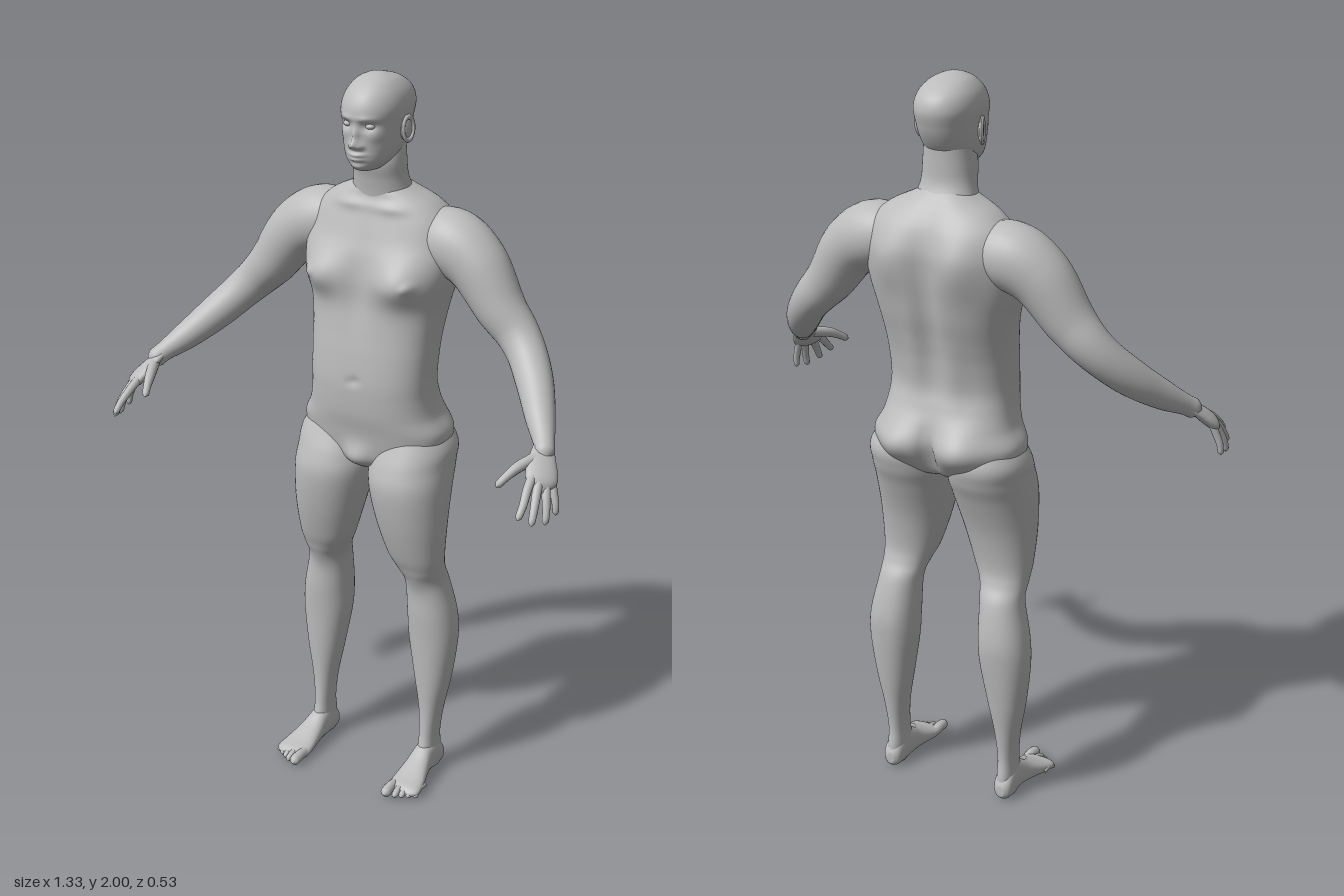
import * as THREE from 'three';
import { mergeVertices } from 'three/addons/utils/BufferGeometryUtils.js';

const skin = new THREE.MeshStandardMaterial({ color: 0xbcbcbc });
skin.name = 'grey skin';

// Catmull-Rom blend of one column of a section table
function blend(rows, u, col) {
  const n = rows.length - 1, i = Math.min(Math.floor(u * n), n - 1), f = u * n - i;
  const v = k => rows[Math.max(0, Math.min(n, k))][col];
  const [p, a, b, q] = [v(i - 1), v(i), v(i + 1), v(i + 2)];
  return a + 0.5 * f * (b - p + f * (2 * p - 5 * a + 4 * b - q + f * (3 * (a - b) + q - p)));
}

// Skin over oval sections [t, aMin, aMax, bMax, bMin].
// Bumps are [a, t, aRadius, tRadius, side, push]; those off the middle can be mirrored.
function loft(rows, { n = 2.2, bumps = [], steps = 60, sides = 48, place = (t, a, b) => [a, t, b] } = {}) {
  const pos = [], index = [];
  for (let i = 0; i <= steps; i++) {
    const [t, a0, a1, b1, b0] = [0, 1, 2, 3, 4].map(c => blend(rows, i / steps, c));
    for (let j = 0; j < sides; j++) {
      const th = j / sides * Math.PI * 2, c = Math.cos(th), s = Math.sin(th);
      const a = (a0 + a1) / 2 + (a1 - a0) / 2 * Math.sign(c) * Math.abs(c) ** (2 / n);
      let b = (b0 + b1) / 2 + (b1 - b0) / 2 * Math.sign(s) * Math.abs(s) ** (2 / n);
      const base = a;
      for (const [ba, bt, ra, rt, side, push] of bumps) {
        const w = Math.sqrt(Math.max(0, s * side));
        b += push * w * Math.exp(-(((base - ba) / ra) ** 2) - ((t - bt) / rt) ** 2);
      }
      pos.push(...place(t, a, b));
      const k = i * sides + j, m = i * sides + (j + 1) % sides;
      if (i < steps) index.push(k, k + sides, m, m, k + sides, m + sides);
    }
  }
  const last = steps * sides;
  for (let j = 1; j < sides - 1; j++) index.push(0, j, j + 1, last, last + j + 1, last + j);
  const g = new THREE.BufferGeometry();
  g.setAttribute('position', new THREE.Float32BufferAttribute(pos, 3));
  g.setIndex(index);
  g.computeVertexNormals();
  return g;
}

// Round limb through [x, y, z, radius] with a rounded tip; optionally squashed along a direction
function limb(points, { steps = 14, sides = 12, squashDir = null, squash = 1 } = {}) {
  const p = points.map(q => new THREE.Vector3(...q));
  const end = p[p.length - 1], r = points[points.length - 1][3];
  const dir = end.clone().sub(p[p.length - 2]).normalize();
  p.push(end.clone().addScaledVector(dir, r * 0.7));
  const radii = [...points.map(q => [q[3]]), [0.001]];
  const curve = new THREE.CatmullRomCurve3(p);
  const g = new THREE.TubeGeometry(curve, steps, 1, sides);
  const at = g.attributes.position, v = new THREE.Vector3();
  for (let i = 0; i <= steps; i++) {
    const c = curve.getPointAt(i / steps);
    const rad = Math.max(0.001, blend(radii, curve.getUtoTmapping(i / steps), 0));
    for (let j = 0; j <= sides; j++) {
      const k = i * (sides + 1) + j;
      v.fromBufferAttribute(at, k).sub(c).multiplyScalar(rad);
      if (squashDir) v.addScaledVector(squashDir, (squash - 1) * v.dot(squashDir));
      at.setXYZ(k, v.x + c.x, v.y + c.y, v.z + c.z);
    }
  }
  g.deleteAttribute('uv');
  g.deleteAttribute('normal');
  const out = mergeVertices(g, 1e-5);
  out.computeVertexNormals();
  return out;
}

function ball(x, y, z, rx, ry, rz, turn = 0) {
  return new THREE.SphereGeometry(1, 20, 14).scale(rx, ry, rz).rotateY(turn).translate(x, y, z);
}

function mirrored(geo) {
  const g = geo.clone().scale(-1, 1, 1), ix = g.index.array;
  for (let i = 0; i < ix.length; i += 3) [ix[i], ix[i + 1]] = [ix[i + 1], ix[i]];
  g.computeVertexNormals();
  return g;
}

const even = rows => rows.map(([y, w, f, b]) => [y, -w, w, f, b]);
const pair = list => list.flatMap(([a, ...rest]) => a ? [[a, ...rest], [-a, ...rest]] : [[a, ...rest]]);

export function createModel() {
  const model = new THREE.Group();
  model.name = 'human figure';
  const add = (name, geo, parent = model) => {
    const m = new THREE.Mesh(geo, skin);
    m.name = name;
    parent.add(m);
  };
  const addPair = (name, geo) => {
    add('left' + name, geo);
    add('right' + name, mirrored(geo));
  };

  // Torso with chest, shoulder blades, spine groove and buttocks
  add('torso', loft(even([
    [0.935, 0.03, -0.03, -0.13], [0.96, 0.12, -0.005, -0.185], [1.0, 0.195, 0.004, -0.212],
    [1.05, 0.212, 0.013, -0.226], [1.1, 0.188, 0.024, -0.218], [1.15, 0.177, 0.029, -0.203],
    [1.2, 0.174, 0.03, -0.192], [1.27, 0.176, 0.024, -0.2], [1.33, 0.18, 0.016, -0.215],
    [1.4, 0.19, 0.008, -0.235], [1.47, 0.208, 0.006, -0.246], [1.53, 0.215, -0.004, -0.25],
    [1.58, 0.208, -0.022, -0.25], [1.63, 0.19, -0.04, -0.238], [1.67, 0.15, -0.055, -0.215],
    [1.7, 0.09, -0.062, -0.19], [1.72, 0.05, -0.075, -0.17],
  ]), {
    n: 2.5, steps: 130, sides: 96, bumps: pair([
      [0.125, 1.475, 0.065, 0.055, 1, 0.036], [0.148, 1.477, 0.013, 0.013, 1, 0.012],
      [0, 1.47, 0.03, 0.1, 1, -0.01], [0, 0.975, 0.035, 0.035, 1, 0.022],
      [0, 1.2, 0.012, 0.012, 1, -0.008], [0.06, 1.66, 0.05, 0.015, 1, 0.008],
      [0.095, 1.045, 0.07, 0.065, -1, -0.04], [0, 1.03, 0.018, 0.07, -1, 0.03],
      [0.1, 1.55, 0.06, 0.08, -1, -0.022], [0, 1.42, 0.03, 0.2, -1, 0.02],
      [0.06, 1.25, 0.03, 0.1, -1, -0.006],
    ]),
  }));

  // Neck
  add('neck', loft(even([
    [1.62, 0.1, -0.06, -0.21], [1.68, 0.085, -0.058, -0.192], [1.73, 0.073, -0.05, -0.17],
    [1.78, 0.069, -0.04, -0.168], [1.84, 0.06, -0.06, -0.17],
  ]), { steps: 24 }));

  // Head with brow, eye sockets, nose, lips and chin
  add('head', loft(even([
    [1.762, 0.02, -0.012, -0.07], [1.768, 0.036, -0.002, -0.1], [1.79, 0.058, 0.009, -0.14],
    [1.82, 0.07, 0.012, -0.17], [1.85, 0.075, 0.013, -0.19], [1.88, 0.078, 0.017, -0.203],
    [1.92, 0.082, 0.019, -0.213], [1.955, 0.073, 0.003, -0.2], [1.982, 0.052, -0.027, -0.162],
    [1.996, 0.026, -0.058, -0.118], [2.0, 0.006, -0.08, -0.095],
  ]), {
    n: 2.2, steps: 110, sides: 120, bumps: pair([
      [0, 1.836, 0.012, 0.012, 1, 0.02], [0, 1.858, 0.009, 0.022, 1, 0.011],
      [0.014, 1.831, 0.008, 0.008, 1, 0.009], [0.033, 1.883, 0.018, 0.012, 1, -0.012],
      [0.03, 1.902, 0.024, 0.008, 1, 0.005], [0, 1.809, 0.022, 0.006, 1, 0.011],
      [0, 1.797, 0.02, 0.006, 1, 0.01], [0, 1.776, 0.022, 0.01, 1, 0.007],
      [0.048, 1.855, 0.018, 0.016, 1, 0.005],
    ]),
  }));
  addPair('Eye', ball(0.032, 1.883, -0.003, 0.013, 0.008, 0.011));

  // Ears: a bowl with a raised rim
  addPair('Ear', ball(0.082, 1.862, -0.095, 0.007, 0.03, 0.019, -0.35));
  addPair('EarRim', new THREE.TorusGeometry(0.02, 0.005, 8, 24).scale(0.85, 1.5, 1)
    .rotateY(Math.PI / 2 - 0.35).translate(0.087, 1.864, -0.097));

  // Arms
  addPair('Arm', limb([
    [0.11, 1.57, -0.145, 0.075], [0.195, 1.572, -0.142, 0.088], [0.27, 1.53, -0.135, 0.081],
    [0.35, 1.425, -0.125, 0.066], [0.4, 1.372, -0.12, 0.057], [0.44, 1.33, -0.1, 0.052],
    [0.49, 1.275, -0.052, 0.048], [0.545, 1.216, 0.02, 0.038], [0.583, 1.18, 0.073, 0.027],
    [0.598, 1.162, 0.1, 0.025],
  ], { steps: 60, sides: 32 }));

  // Hands
  const palmUp = new THREE.Vector3(0.54, 0.76, 0.36).normalize();
  addPair('Palm', limb([
    [0.583, 1.18, 0.07, 0.025], [0.597, 1.158, 0.105, 0.034],
    [0.613, 1.13, 0.14, 0.042], [0.623, 1.112, 0.16, 0.036],
  ], { steps: 20, sides: 24, squashDir: palmUp, squash: 0.42 }));
  const fingers = {
    Thumb: [[0.583, 1.158, 0.12, 0.015], [0.56, 1.145, 0.17, 0.014], [0.547, 1.13, 0.2, 0.011], [0.536, 1.114, 0.224, 0.009]],
    IndexFinger: [[0.6, 1.13, 0.165, 0.012], [0.605, 1.108, 0.2, 0.0115], [0.612, 1.08, 0.235, 0.01], [0.613, 1.058, 0.26, 0.008]],
    MiddleFinger: [[0.616, 1.122, 0.16, 0.012], [0.625, 1.095, 0.19, 0.0115], [0.633, 1.062, 0.217, 0.01], [0.636, 1.037, 0.233, 0.008]],
    RingFinger: [[0.628, 1.12, 0.145, 0.011], [0.64, 1.088, 0.166, 0.011], [0.65, 1.052, 0.182, 0.0095], [0.652, 1.027, 0.19, 0.008]],
    LittleFinger: [[0.634, 1.122, 0.128, 0.01], [0.645, 1.09, 0.136, 0.01], [0.655, 1.058, 0.142, 0.009], [0.657, 1.035, 0.144, 0.007]],
  };
  for (const [name, points] of Object.entries(fingers)) addPair(name, limb(points));

  // Legs: thigh, knee, calf and ankle
  addPair('Leg', loft([
    [0.01, 0.155, 0.2, -0.07, -0.145], [0.06, 0.15, 0.202, -0.05, -0.147],
    [0.12, 0.151, 0.201, -0.06, -0.141], [0.2, 0.144, 0.21, -0.064, -0.15],
    [0.3, 0.125, 0.229, -0.06, -0.166], [0.42, 0.104, 0.243, -0.055, -0.181],
    [0.5, 0.1, 0.238, -0.05, -0.185], [0.6, 0.097, 0.217, -0.046, -0.168],
    [0.65, 0.083, 0.217, -0.023, -0.144], [0.7, 0.06, 0.222, -0.002, -0.137],
    [0.8, 0.03, 0.228, 0.025, -0.155], [0.9, 0.007, 0.229, 0.039, -0.19],
    [0.96, 0.003, 0.226, 0.027, -0.216], [1.02, 0.012, 0.219, 0.001, -0.224],
    [1.11, 0.04, 0.155, -0.04, -0.18],
  ], { n: 2.15, steps: 90, bumps: [[0.155, 0.615, 0.035, 0.03, 1, 0.006], [0.13, 0.47, 0.03, 0.1, -1, -0.004]] }));

  // Feet, built from toe to heel
  addPair('Foot', loft([
    [0.08, 0.15, 0.215, 0.022, 0.009], [0.065, 0.138, 0.234, 0.032, 0.003],
    [0.03, 0.137, 0.231, 0.043, 0.002], [-0.02, 0.142, 0.217, 0.066, 0.005],
    [-0.06, 0.146, 0.207, 0.09, 0.003], [-0.1, 0.148, 0.205, 0.1, 0.0],
    [-0.138, 0.152, 0.203, 0.07, 0.002], [-0.152, 0.166, 0.19, 0.045, 0.015],
  ], { n: 2.3, steps: 36, sides: 32, place: (t, a, b) => [a, b, t] }));
  for (let i = 0; i < 5; i++) {
    const x = i ? 0.16 + 0.0165 * i : 0.152, r = i ? 0.0095 - 0.0005 * i : 0.0145;
    const z = 0.107 - 0.0095 * i;
    addPair('Toe' + (i + 1), limb([
      [x, 0.018, z - 0.055, r], [x, 0.021, z - 0.025, r], [x + 0.001, r + 0.002, z, r * 0.95],
    ], { sides: 14 }));
  }
  return model;
}
